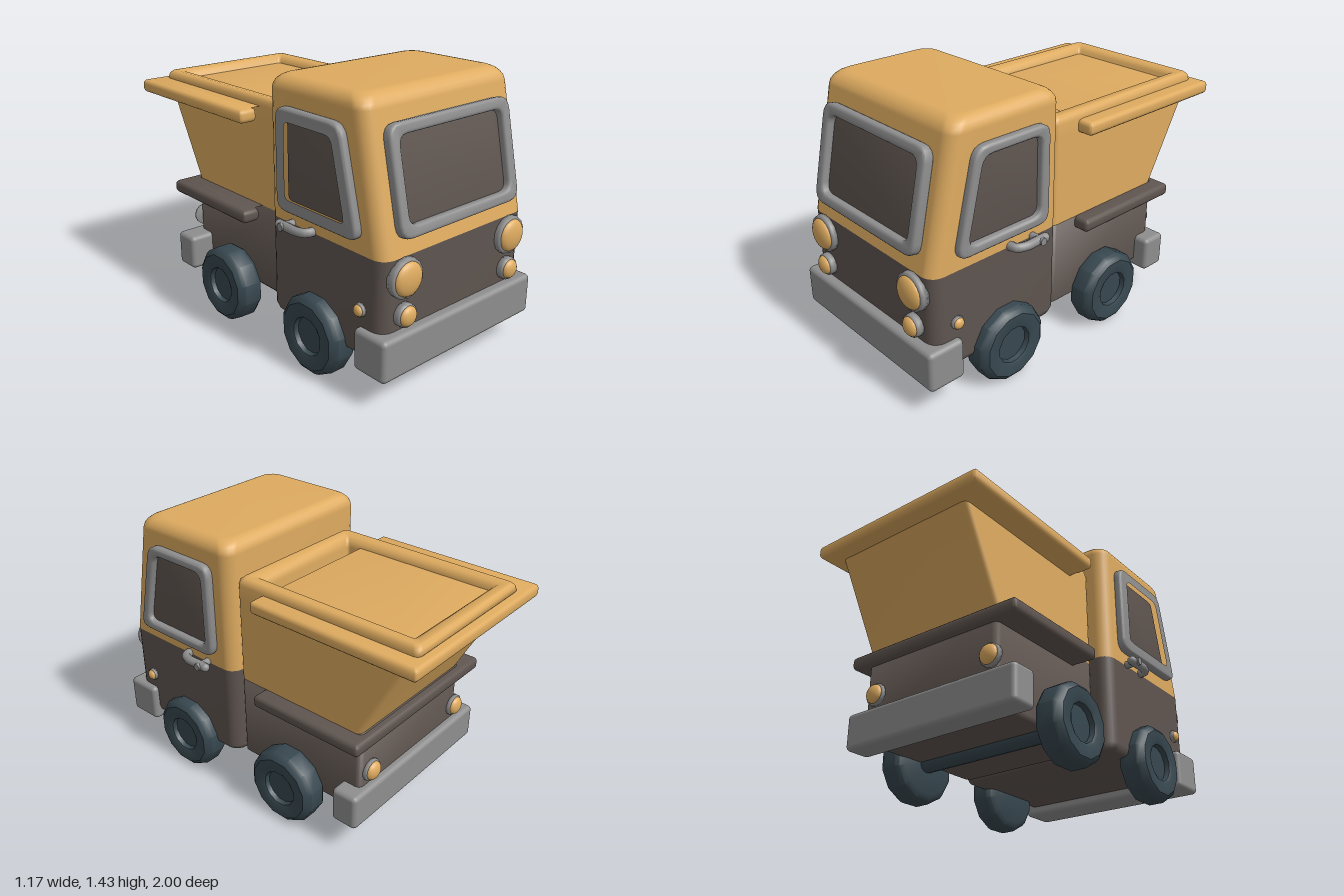
import * as THREE from 'three';
import { toCreasedNormals } from 'three/addons/utils/BufferGeometryUtils.js';
import { RoundedBoxGeometry } from 'three/addons/geometries/RoundedBoxGeometry.js';

const paint = (name, color) => {
  const m = new THREE.MeshStandardMaterial({ color });
  m.name = name;
  return m;
};

// Rounded rectangles stacked in y: each section is [y, x0, x1, z0, z1, radius].
function loft(sections, capBottom, capTop) {
  const STEPS = 5, pos = [], index = [], n = 4 * (STEPS + 1);
  for (const [y, x0, x1, z0, z1, r] of sections) {
    const corners = [[x1 - r, z0 + r], [x0 + r, z0 + r], [x0 + r, z1 - r], [x1 - r, z1 - r]];
    corners.forEach(([cx, cz], q) => {
      for (let i = 0; i <= STEPS; i++) {
        const a = (q + i / STEPS) * Math.PI / 2;
        pos.push(cx + r * Math.cos(a), y, cz - r * Math.sin(a));
      }
    });
  }
  for (let k = 0; k < sections.length - 1; k++) {
    for (let i = 0; i < n; i++) {
      const a = k * n + i, b = k * n + (i + 1) % n;
      index.push(a, b, b + n, a, b + n, a + n);
    }
  }
  const cap = (k, up) => {
    const [y, x0, x1, z0, z1] = sections[k], c = pos.length / 3;
    pos.push((x0 + x1) / 2, y, (z0 + z1) / 2);
    for (let i = 0; i < n; i++) {
      const a = k * n + i, b = k * n + (i + 1) % n;
      index.push(...(up ? [c, a, b] : [c, b, a]));
    }
  };
  if (capBottom) cap(0, false);
  if (capTop) cap(sections.length - 1, true);
  const g = new THREE.BufferGeometry();
  g.setAttribute('position', new THREE.Float32BufferAttribute(pos, 3));
  g.setIndex(index);
  g.computeVertexNormals();
  return g;
}

// Polygon with rounded corners.
function roundedPolygon(points, r, target = new THREE.Shape()) {
  const p = points.map(([x, y]) => new THREE.Vector2(x, y));
  p.forEach((c, i) => {
    const toward = (q) => c.clone().add(q.clone().sub(c).setLength(r));
    const a = toward(p[(i + p.length - 1) % p.length]), b = toward(p[(i + 1) % p.length]);
    if (i) target.lineTo(a.x, a.y); else target.moveTo(a.x, a.y);
    target.quadraticCurveTo(c.x, c.y, b.x, b.y);
  });
  target.closePath();
  return target;
}

// Extrusion from z = 0 to depth whose bevel stays inside the outline.
function slab(shape, depth, bevel) {
  const g = new THREE.ExtrudeGeometry(shape, {
    depth: depth - 2 * bevel, bevelSize: bevel, bevelThickness: bevel,
    bevelOffset: -bevel, bevelSegments: 3, curveSegments: 4,
  });
  g.translate(0, 0, bevel);
  return toCreasedNormals(g, 0.7);
}

export function createModel() {
  const model = new THREE.Group();
  model.name = 'dumpTruck';
  const yellow = paint('yellow paint', 0xdeab60);
  const brown = paint('brown paint', 0x5f5550);
  const grey = paint('grey trim', 0x8e8e8e);
  const rubber = paint('tyre rubber', 0x37474f);

  const add = (name, geometry, material, x = 0, y = 0, z = 0, parent = model) => {
    const m = new THREE.Mesh(geometry, material);
    m.name = name;
    m.position.set(x, y, z);
    parent.add(m);
    return m;
  };

  // Cab: upright brown base, yellow top with a sloping front
  const cab = (y, inset, front) => [y, -0.5 + inset, 0.5 - inset, 0.13 + inset, front - inset, 0.07];
  add('cabBase', loft([cab(0.2, 0.03, 0.935), cab(0.21, 0.01, 0.935), cab(0.24, 0, 0.935), cab(0.72, 0, 0.935)], true, false), brown);
  const cabTop = [cab(0.72, 0, 0.935), cab(1.365, 0, 0.795)];
  for (let i = 1; i <= 5; i++) {
    const a = i / 5 * Math.PI / 2;
    cabTop.push(cab(1.365 + 0.07 * Math.sin(a), 0.07 * (1 - Math.cos(a)), 0.795 - 0.015 * Math.sin(a)));
  }
  add('cabTop', loft(cabTop, false, true), yellow);

  // Rear chassis and hopper, set slightly toward +x
  const bed = (y, inset, back, r = 0.03) => [y, -0.4 + inset, 0.45 - inset, back + inset, 0.125 - inset, r];
  add('rearChassis', loft([bed(0.2, 0.02, -0.67), bed(0.22, 0, -0.67), bed(0.68, 0, -0.67)], true, true), brown);
  add('hopper', loft([
    bed(0.68, 0, -0.66), bed(1.15, 0, -0.91), bed(1.22, 0, -0.955), bed(1.245, 0.006, -0.955),
    bed(1.258, 0.02, -0.955), bed(1.26, 0.035, -0.955), bed(1.255, 0.07, -0.955, 0.02),
    bed(1.235, 0.093, -0.955, 0.015), bed(1.2, 0.1, -0.955, 0.015),
    bed(0.76, 0.1, -0.69, 0.015), bed(0.74, 0.11, -0.68, 0.015),
  ], false, true), yellow);

  // U-shaped rails round the sides and back
  const rail = (name, material, top, back) => {
    const front = -0.04, w = 0.535, t = 0.1;
    const shape = roundedPolygon([
      [-w, front], [-w, back], [w, back], [w, front],
      [w - t, front], [w - t, back + 0.14], [t - w, back + 0.14], [t - w, front],
    ], 0.02);
    const g = slab(shape, 0.07, 0.022);
    g.rotateX(Math.PI / 2);
    add(name, g, material, 0, top, 0);
  };
  rail('upperRail', yellow, 1.215, -1);
  rail('lowerRail', brown, 0.68, -0.71);

  // Bumpers
  add('frontBumper', new RoundedBoxGeometry(1.07, 0.215, 0.205, 3, 0.025), grey, 0, 0.257, 0.885);
  add('rearBumper', new RoundedBoxGeometry(1.07, 0.195, 0.15, 3, 0.025), grey, 0, 0.265, -0.635);

  // Windscreen: frame and pane share the slope of the cab front
  const windscreen = new THREE.Group();
  windscreen.name = 'windscreen';
  windscreen.position.set(0, 1.05, 0.864);
  windscreen.rotation.x = -0.213;
  model.add(windscreen);
  const rect = (w, h) => [[-w, -h], [w, -h], [w, h], [-w, h]];
  const screenFrame = roundedPolygon(rect(0.41, 0.258), 0.07);
  screenFrame.holes.push(roundedPolygon(rect(0.35, 0.2), 0.05, new THREE.Path()));
  add('windscreenFrame', slab(screenFrame, 0.055, 0.016), grey, 0, 0, -0.005, windscreen);
  add('windscreenPane', slab(roundedPolygon(rect(0.37, 0.22), 0.05), 0.009, 0.001), brown, 0, 0, 0.003, windscreen);

  // Lamp facing +z: grey ring with a domed lens
  const lamp = (name, r, ring, dome, x, y, z, turn = 0) => {
    const g = new THREE.Group();
    g.name = name;
    g.position.set(x, y, z);
    g.rotation.y = turn;
    model.add(g);
    const pts = [[0, 0], [r, 0], [r, ring * 0.7], [r * 0.95, ring], [r * 0.8, ring]];
    const body = new THREE.LatheGeometry(pts.map(([a, b]) => new THREE.Vector2(a, b)), 14);
    body.rotateX(Math.PI / 2);
    add('lampRing', body, grey, 0, 0, 0, g);
    const lens = new THREE.SphereGeometry(r * 0.85, 18, 8, 0, Math.PI * 2, 0, Math.PI / 2);
    lens.rotateX(Math.PI / 2);
    lens.scale(1, 1, dome / (r * 0.85));
    add('lampLens', lens, yellow, 0, 0, ring * 0.95, g);
  };

  // Wheel with a recessed hub, axis along y
  const wheelShape = new THREE.LatheGeometry([
    [0, -0.077], [0.165, -0.077], [0.195, -0.062], [0.208, -0.04], [0.208, 0.04], [0.195, 0.062],
    [0.175, 0.077], [0.115, 0.077], [0.1, 0.07], [0.094, 0.045], [0, 0.045],
  ].map(([r, y]) => new THREE.Vector2(r, y)), 12, Math.PI / 12);
  const wheels = toCreasedNormals(wheelShape, 0.6);

  for (const s of [1, -1]) {
    const side = s > 0 ? 'left' : 'right';

    // Wheels
    for (const [end, z] of [['Front', 0.495], ['Rear', -0.238]]) {
      add(side + end + 'Wheel', wheels, rubber, s * 0.498, 0.203, z).rotation.z = -s * Math.PI / 2;
    }

    // Lamps
    lamp(side + 'Headlight', 0.1, 0.04, 0.035, s * 0.37, 0.622, 0.925);
    lamp(side + 'FogLight', 0.06, 0.045, 0.03, s * 0.37, 0.44, 0.925);
    lamp(side + 'TailLight', 0.06, 0.025, 0.03, s * 0.37, 0.44, -0.665, Math.PI);
    lamp(side + 'SideMarker', 0.034, 0.02, 0.02, s * 0.498, 0.452, 0.8, s * Math.PI / 2);

    // Side window
    const flip = ([z, y]) => [-s * z, y];
    const frame = roundedPolygon([[0.81, 0.788], [0.24, 0.788], [0.24, 1.302], [0.685, 1.302]].map(flip), 0.065);
    const pane = [[0.745, 0.84], [0.295, 0.84], [0.295, 1.252], [0.645, 1.252]].map(flip);
    frame.holes.push(roundedPolygon(pane, 0.05, new THREE.Path()));
    const frameShape = slab(frame, 0.05, 0.015), paneShape = slab(roundedPolygon(pane, 0.03), 0.009, 0.001);
    frameShape.rotateY(s * Math.PI / 2);
    paneShape.rotateY(s * Math.PI / 2);
    add(side + 'WindowFrame', frameShape, grey, s * 0.492);
    add(side + 'WindowPane', paneShape, brown, s * 0.498);

    // Door handle
    const path = new THREE.CatmullRomCurve3([[0.49, 0.465], [0.535, 0.455], [0.555, 0.41], [0.555, 0.345], [0.555, 0.28]]
      .map(([x, z]) => new THREE.Vector3(s * x, 0.725, z)));
    add(side + 'DoorHandle', new THREE.TubeGeometry(path, 14, 0.024, 8), grey);
    add(side + 'HandleTip', new THREE.SphereGeometry(0.024, 10, 8), grey, s * 0.555, 0.725, 0.285);
    add(side + 'HandlePin', new THREE.CylinderGeometry(0.02, 0.02, 0.095, 12), grey, s * 0.538, 0.725, 0.32).rotation.z = Math.PI / 2;
  }

  // Rear axle
  add('rearAxle', new THREE.CylinderGeometry(0.05, 0.05, 0.9, 12), rubber, 0, 0.203, -0.238).rotation.z = Math.PI / 2;

  return model;
}
